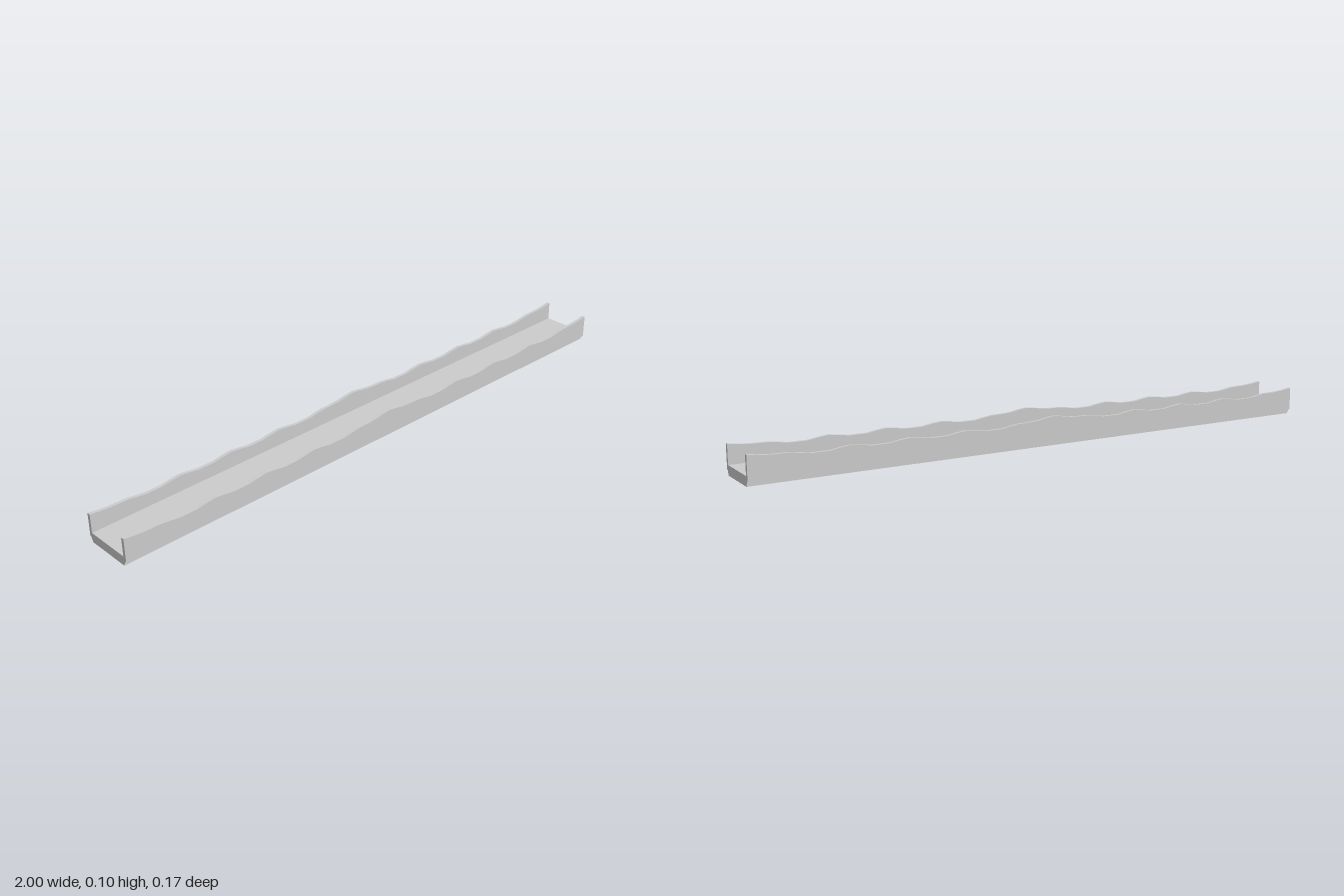
import * as THREE from 'three';

const HALF = 1, OUTER = 0.087, INNER = 0.076, FLOOR = 0.031, WALL_BASE = 0.016;

// Wavy top edge of a wall from the middle (x = 0) to one end
function waveProfile() {
  const pts = [[0, 0.096], [0.025, 0.093], [0.06, 0.087], [0.09, 0.085], [0.13, 0.084], [0.16, 0.08]];
  // repeated scallops: trough, then a small crest
  for (let i = 0; i < 4; i++) {
    const x = 0.22 + i * 0.188;
    pts.push([x - 0.03, 0.075], [x + 0.03, 0.075]);
    if (i < 3) pts.push([x + 0.06, 0.08], [x + 0.094, 0.084], [x + 0.128, 0.08]);
  }
  pts.push([0.84, 0.079], [0.875, 0.084], [0.93, 0.085], [0.965, 0.088], [HALF, 0.093]);
  return pts;
}

export function createModel() {
  const group = new THREE.Group();
  const material = new THREE.MeshStandardMaterial({ color: 0xcccccc });

  // Floor slab with stepped lower edges, extruded along the length
  const half = [[INNER, 0], [INNER, 0.007], [0.081, 0.007], [0.081, WALL_BASE], [INNER, WALL_BASE], [INNER, FLOOR]];
  const section = [...half, ...half.map(([z, y]) => [-z, y]).reverse()];
  const floorGeo = new THREE.ExtrudeGeometry(
    new THREE.Shape(section.map(([z, y]) => new THREE.Vector2(z, y))),
    { depth: 2 * HALF, bevelEnabled: false });
  floorGeo.translate(0, 0, -HALF).rotateY(Math.PI / 2);
  const floor = new THREE.Mesh(floorGeo, material);
  floor.name = 'steppedFloor';
  group.add(floor);

  // Two side walls with the mirrored wavy top edge
  const wave = waveProfile();
  const outline = [[-HALF, WALL_BASE], [HALF, WALL_BASE], ...wave.slice().reverse(),
    ...wave.slice(1).map(([x, y]) => [-x, y])];
  const wallGeo = new THREE.ExtrudeGeometry(
    new THREE.Shape(outline.map(([x, y]) => new THREE.Vector2(x, y))),
    { depth: OUTER - INNER, bevelEnabled: false });
  for (const [name, z] of [['frontWall', INNER], ['backWall', -OUTER]]) {
    const wall = new THREE.Mesh(wallGeo, material);
    wall.name = name;
    wall.position.z = z;
    group.add(wall);
  }
  return group;
}
